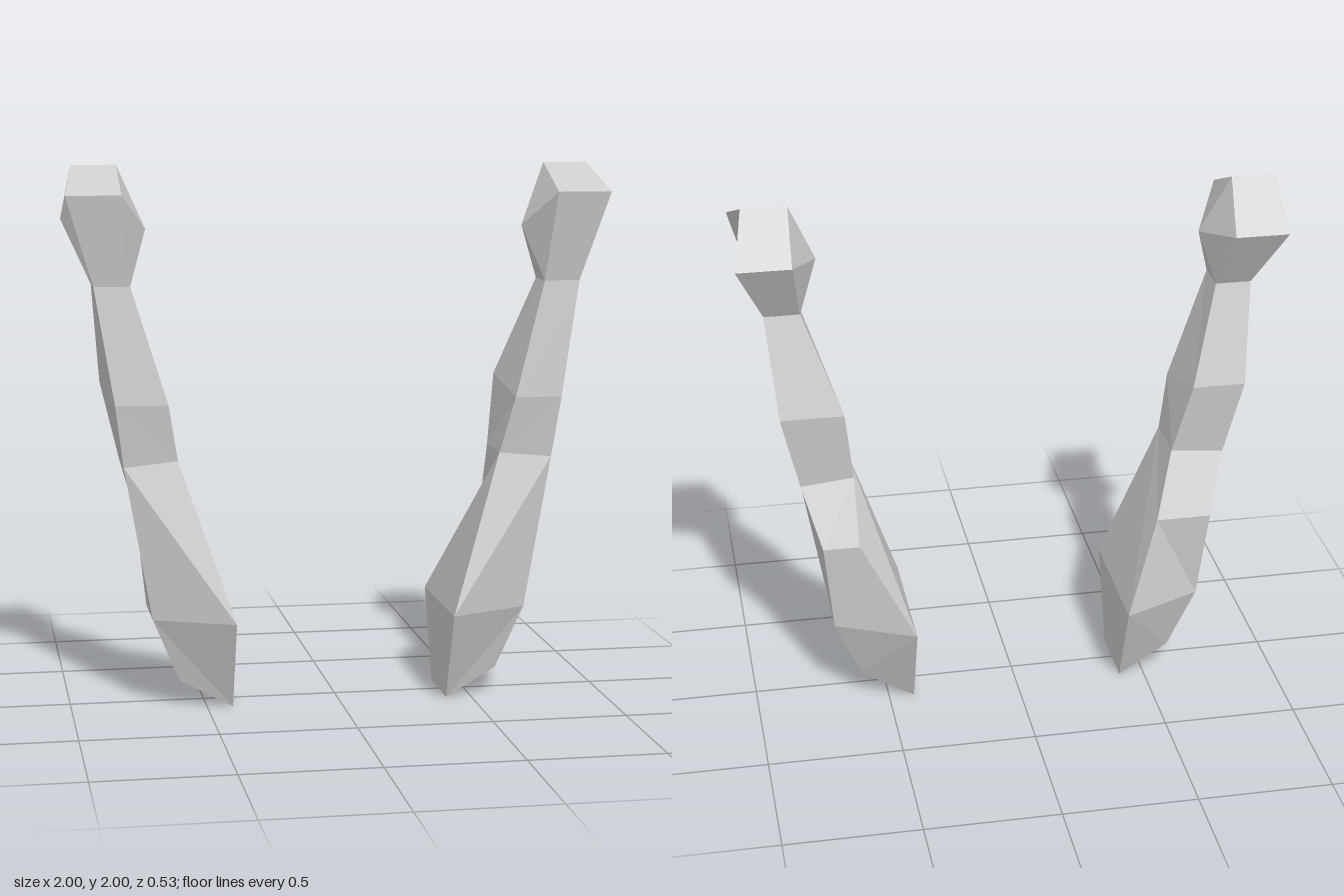
import * as THREE from 'three';

// Collects corners into a flat-shaded mesh; side = -1 mirrors x and flips winding
function facetMesh(name, side, faces) {
  const pos = [];
  for (const face of faces) {
    for (let i = 1; i < face.length - 1; i++) {
      const tri = [face[0], face[i], face[i + 1]];
      if (side < 0) tri.reverse();
      for (const [x, y, z] of tri) pos.push(x * side, y, z);
    }
  }
  const geo = new THREE.BufferGeometry();
  geo.setAttribute('position', new THREE.Float32BufferAttribute(pos, 3));
  geo.computeVertexNormals();
  const mat = new THREE.MeshStandardMaterial({ color: 0xcccccc, flatShading: true });
  const mesh = new THREE.Mesh(geo, mat);
  mesh.name = name;
  return mesh;
}

// Quads between successive four-cornered rings, from the top down
function loft(rings) {
  const faces = [];
  for (let r = 0; r < rings.length - 1; r++) {
    for (let j = 0; j < 4; j++) {
      const k = (j + 1) % 4;
      faces.push([rings[r][j], rings[r][k], rings[r + 1][k], rings[r + 1][j]]);
    }
  }
  return faces;
}

// forearmFront, forearmBack, upperBack: x of the inner corners that differ per side
function createArm(side, prefix, forearmFront, forearmBack, upperBack) {
  const arm = new THREE.Group();
  arm.name = prefix + 'Arm';

  // Ring corners: outer front, inner front, inner back, outer back
  const wrist = [[0.9, 1.57, 0.135], [0.768, 1.57, 0.135], [0.768, 1.57, 0], [0.9, 1.57, 0]];
  const forearm = [[0.83, 1.14, 0.165], [forearmFront, 1.14, 0.165], [forearmBack, 1.2, -0.1], [0.867, 1.2, -0.1]];
  const elbow = [[0.8, 0.91, 0.135], [0.602, 0.93, 0.135], [0.602, 0.93, -0.068], [0.8, 0.91, -0.068]];
  // The upper arm bends only at the back, so its front corners stay at the elbow
  const upper = [elbow[0], elbow[1], [upperBack, 0.69, -0.167], [0.735, 0.69, -0.167]];
  const shoulder = [[0.7, 0.34, 0.135], [0.405, 0.34, 0.265], [0.405, 0.34, -0.265], [0.7, 0.34, -0.132]];
  const base = [[0.6, 0.1, 0.1], [0.405, 0, 0.132], [0.405, 0, -0.132], [0.6, 0.1, -0.1]];

  arm.add(facetMesh(prefix + 'Forearm', side, loft([wrist, forearm, elbow])));
  arm.add(facetMesh(prefix + 'UpperArm', side, [...loft([elbow, upper, shoulder, base]), base]));

  // Fist: ridged top, flat outer side, pointed inner side
  const [wOF, wIF, wIB, wOB] = wrist;
  const fo = [1, 1.9, 0.2], fi = [0.8, 1.9, 0.2];
  const to = [0.965, 2, -0.035], ti = [0.8, 2, -0.035];
  const bo = [1, 1.8, -0.132], bi = [0.8, 1.8, -0.132];
  const tip = [0.702, 1.77, 0.03];
  const inner = [fi, ti, bi, wIB, wIF];
  arm.add(facetMesh(prefix + 'Fist', side, [
    [fo, to, ti, fi], [to, bo, bi, ti],
    [fo, fi, wIF, wOF], [bi, bo, wOB, wIB],
    [to, fo, wOF, wOB], [to, wOB, bo],
    ...inner.map((p, i) => [tip, p, inner[(i + 1) % 5]]),
  ]));
  return arm;
}

export function createModel() {
  const model = new THREE.Group();
  model.name = 'raisedArms';
  model.add(createArm(1, 'left', 0.655, 0.632, 0.6));
  model.add(createArm(-1, 'right', 0.637, 0.67, 0.53));
  return model;
}
